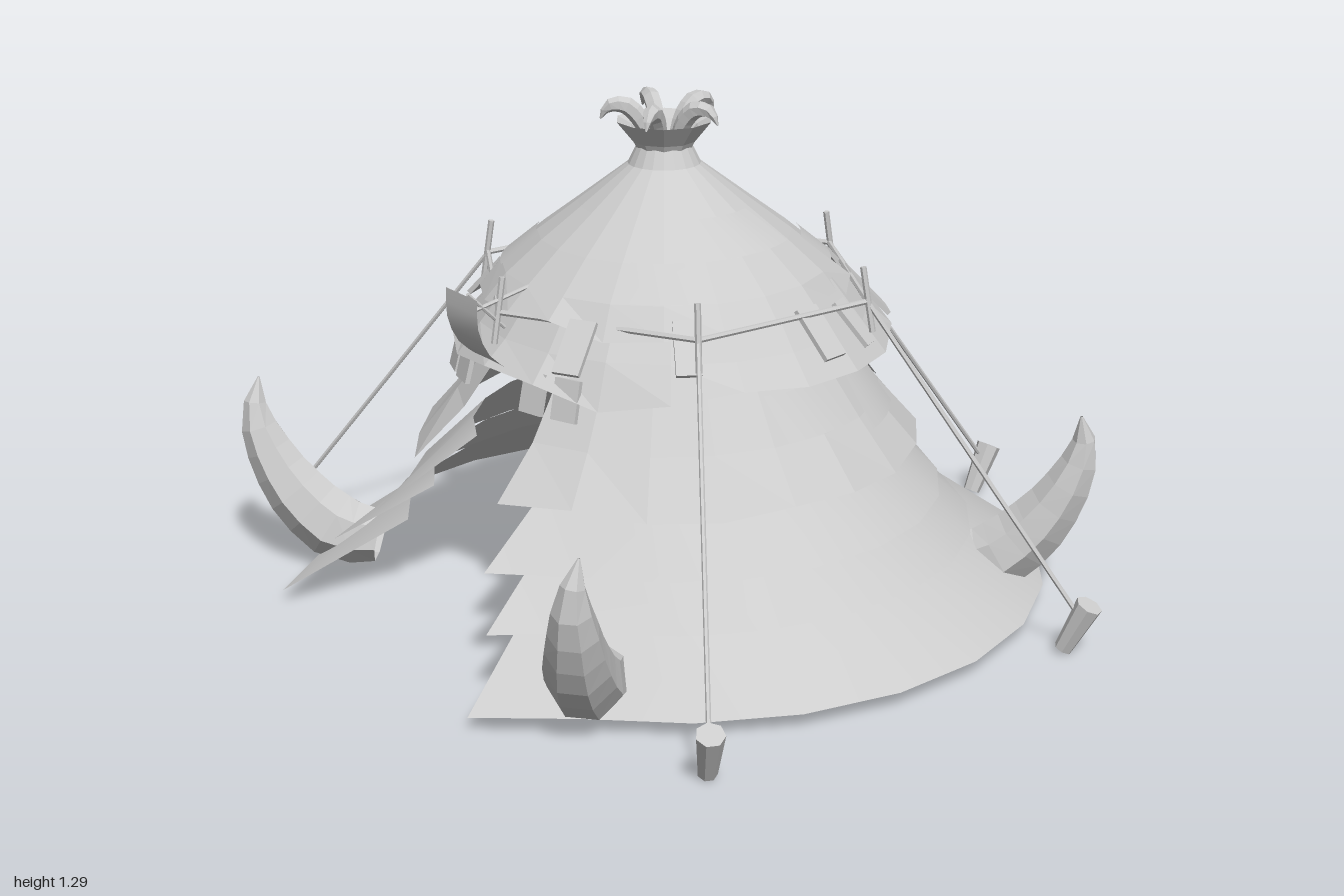
import * as THREE from 'three';

const V = (x, y, z) => new THREE.Vector3(x, y, z);

export function createModel() {
  const group = new THREE.Group();
  const smooth = new THREE.MeshStandardMaterial({ color: 0xcccccc, side: THREE.DoubleSide });
  smooth.name = 'pale grey hide';
  const faceted = smooth.clone();
  faceted.flatShading = true;
  faceted.name = 'pale grey faceted';

  let seed = 7;
  const rand = () => (seed = (seed * 16807) % 2147483647) / 2147483647;

  const add = (name, geo, mat = smooth, parent = group) => {
    const m = new THREE.Mesh(geo, mat);
    m.name = name;
    parent.add(m);
    return m;
  };
  // straight round bar between two points
  const bar = (name, a, b, r0, r1 = r0, sides = 6) => {
    const m = add(name, new THREE.CylinderGeometry(r1, r0, a.distanceTo(b), sides), faceted);
    m.position.copy(a).lerp(b, 0.5);
    m.quaternion.setFromUnitVectors(V(0, 1, 0), b.clone().sub(a).normalize());
    return m;
  };
  // tapering horn along a curve
  const horn = (name, pts, radii, sides = 7) => {
    const n = 9, c = new THREE.CatmullRomCurve3(pts), v = V(0, 0, 0);
    const geo = new THREE.TubeGeometry(c, n, 1, sides, false);
    const p = geo.attributes.position;
    for (let i = 0; i <= n; i++) {
      const o = c.getPointAt(i / n);
      const f = c.getUtoTmapping(i / n) * (radii.length - 1);
      const k = Math.min(Math.floor(f), radii.length - 2);
      const r = THREE.MathUtils.lerp(radii[k], radii[k + 1], f - k);
      for (let j = 0; j <= sides; j++) {
        const id = i * (sides + 1) + j;
        v.fromBufferAttribute(p, id).sub(o).multiplyScalar(r).add(o);
        p.setXYZ(id, v.x, v.y, v.z);
      }
    }
    geo.computeVertexNormals();
    return add(name, geo, faceted);
  };

  // overlapping hide layers: centre, door half angle, profile [radius, y], hem raggedness,
  // and the hem corners beside the door [x, front z, back z]
  const layers = [
    ['groundSkirt', -0.08, -0.04, 25, [[0.94, 0.04], [0.7, 0.21]], 0, [-1, 0.41, -0.48]],
    ['secondSkirt', -0.1, -0.03, 23.5, [[0.76, 0.18], [0.62, 0.31]], 0, [-0.89, 0.32, -0.4]],
    ['thirdSkirt', -0.11, -0.02, 20, [[0.68, 0.285], [0.51, 0.45]], 0, [-0.83, 0.22, -0.28]],
    ['middleHide', -0.14, 0, 17, [[0.63, 0.43], [0.53, 0.55], [0.42, 0.7]], 0.015, [-0.765, 0.18, -0.2]],
    ['upperHide', -0.13, 0, 0, [[0.55, 0.68], [0.49, 0.76], [0.41, 0.86]], 0.03],
    ['roofHide', -0.15, 0, 0, [[0.46, 0.82], [0.405, 0.88], [0.315, 0.955], [0.215, 1.03], [0.09, 1.125], [0.068, 1.17]], 0.02],
  ];
  for (const [name, cx, cz, gap, prof, rag, door] of layers) {
    const g = THREE.MathUtils.degToRad(gap);
    const geo = new THREE.LatheGeometry(prof.map(q => new THREE.Vector2(...q)), 20, -Math.PI / 2 + g, 2 * Math.PI - 2 * g);
    const p = geo.attributes.position, n = prof.length;
    if (rag) {
      for (let i = 0; i < 20; i++) p.setY(i * n, p.getY(i * n) + (rand() - 0.5) * 2 * rag);
      p.setY(20 * n, p.getY(0));
    }
    if (door) {
      p.setXYZ(0, door[0] - cx, prof[0][1], door[1] - cz);
      p.setXYZ(20 * n, door[0] - cx, prof[0][1], door[2] - cz);
    }
    geo.computeVertexNormals();
    add(name, geo, n > 2 ? faceted : smooth).position.set(cx, 0, cz);
  }

  // sewn patches lying on the hides: angle, width, skew, lower and upper [radius, y]
  const patches = [
    [0.1, 0.4, 0.1, [0.53, 0.55], [0.457, 0.65]], [0.75, 0.4, -0.15, [0.56, 0.515], [0.457, 0.65]],
    [1.3, 0.3, 0.2, [0.565, 0.51], [0.457, 0.65]], [1.85, 0.3, -0.1, [0.545, 0.535], [0.465, 0.64]],
    [2.6, 0.5, 0.1, [0.56, 0.515], [0.457, 0.65]], [3.4, 0.4, -0.1, [0.545, 0.535], [0.457, 0.65]],
    [0.1, 0.7, 0.2, [0.315, 0.955], [0.215, 1.03]], [1.0, 0.4, 0.1, [0.405, 0.88], [0.33, 0.943]],
    [1.9, 0.35, -0.1, [0.405, 0.88], [0.33, 0.943]], [2.8, 0.4, 0.1, [0.405, 0.88], [0.315, 0.955]],
    [4.1, 0.4, -0.1, [0.405, 0.88], [0.315, 0.955]], [5.6, 0.4, 0.1, [0.405, 0.88], [0.315, 0.955]],
  ];
  for (const [a, w, skew, lo, hi] of patches) {
    const pts = [lo, hi].map(([r, y]) => new THREE.Vector2(r + 0.004, y + 0.004));
    const geo = new THREE.LatheGeometry(pts, 4, a - w / 2, w);
    const p = geo.attributes.position;
    // slant the lower edge so each scrap is irregular
    for (let i = 0; i < p.count; i += 2) {
      const t = Math.atan2(p.getX(i), p.getZ(i)) + skew * 0.5;
      p.setXYZ(i, pts[0].x * Math.sin(t), pts[0].y, pts[0].x * Math.cos(t));
    }
    geo.computeVertexNormals();
    add('patch', geo).position.set(-0.147, 0, 0);
  }

  // wooden shingles at the eaves: angle, radius, width, length
  const shingles = [
    [0.2, 0.49, 0.07, 0.14], [0.48, 0.5, 0.05, 0.13], [1.05, 0.5, 0.08, 0.15], [1.3, 0.47, 0.05, 0.16],
    [1.75, 0.48, 0.09, 0.13], [2.05, 0.5, 0.06, 0.16], [2.3, 0.47, 0.08, 0.14], [2.55, 0.5, 0.05, 0.12],
    [3.7, 0.49, 0.07, 0.14], [5.2, 0.49, 0.07, 0.14], [5.75, 0.48, 0.06, 0.14],
  ];
  for (const [a, r, w, l] of shingles) {
    const pivot = new THREE.Group();
    pivot.name = 'shingleMount';
    pivot.position.set(-0.14, 0, 0);
    pivot.rotation.y = a;
    group.add(pivot);
    const s = add('shingle', new THREE.BoxGeometry(w, l, 0.012), faceted, pivot);
    s.position.set(0, 1.24 - r * 0.92, r);
    s.rotation.x = -0.75;
  }

  // ragged scraps either side of the doorway top
  for (const z of [-0.24, -0.15, 0.15, 0.24]) {
    const s = add('doorFringe', new THREE.BoxGeometry(0.012, 0.1, 0.07), faceted);
    s.position.set(-0.69 + Math.abs(z) * 0.35, 0.67, z);
    s.rotation.set(0, z * 1.5, -0.25);
  }

  // hexagonal rail with upright sticks, guy ropes and pegs
  const corner = i => V(-0.13 + 0.505 * Math.cos(i * Math.PI / 3), 0.83, 0.525 * Math.sin(i * Math.PI / 3));
  for (let i = 0; i < 6; i++) {
    const c = corner(i), d = V(Math.cos(i * Math.PI / 3), 0, Math.sin(i * Math.PI / 3));
    bar('rail', c, corner(i + 1), 0.007);
    bar('stick', c.clone().addScaledVector(d, 0.015).setY(0.755), c.clone().addScaledVector(d, -0.012).setY(0.915), 0.008);
    if (i === 3) continue;
    const foot = V(d.x < 0 ? -0.165 : -0.14, 0, -0.005).addScaledVector(d, 1.08);
    bar('guyRope', c, foot.clone().setY(0.11), 0.006);
    bar('peg', foot.clone().addScaledVector(d, -0.03).setY(0.012), foot.clone().addScaledVector(d, 0.03).setY(0.135), 0.023, 0.034, 7);
  }

  // four tusks around the base
  for (const sx of [-1, 1]) for (const sz of [-1, 1]) {
    const at = (x, y, z) => V(-0.14 + sx * x, y, -0.035 + sz * z);
    horn('tusk',
      [at(0.54, 0.09, 0.51), at(0.62, 0.11, 0.58), at(0.695, 0.2, 0.655), at(0.745, 0.32, 0.715), at(0.765, 0.42, 0.74), at(0.748, 0.505, 0.745)],
      [0.07, 0.092, 0.082, 0.06, 0.038, 0.003]);
  }

  // curled flap over the door with its ties
  const flap = new THREE.PlaneGeometry(0.14, 1, 1, 6);
  const curl = new THREE.CatmullRomCurve3([V(-0.73, 0.89, 0), V(-0.73, 0.82, 0), V(-0.7, 0.75, 0), V(-0.64, 0.7, 0)]);
  const fp = flap.attributes.position;
  for (let i = 0; i < fp.count; i++) {
    const q = curl.getPoint(0.5 - fp.getY(i));
    fp.setXYZ(i, q.x, q.y, fp.getX(i) - 0.01);
  }
  flap.computeVertexNormals();
  add('doorFlap', flap);
  bar('flapTie', V(-0.73, 0.84, 0), V(-0.5, 0.89, 0), 0.005);
  bar('flapTie', V(-0.72, 0.89, 0), V(-0.62, 0.79, 0), 0.005);

  // smoke hole collar and curling horn tips
  const collar = [[0.09, 1.125], [0.07, 1.165], [0.078, 1.18], [0.12, 1.232], [0.085, 1.215], [0.05, 1.18]];
  add('collar', new THREE.LatheGeometry(collar.map(q => new THREE.Vector2(...q)), 10), faceted).position.set(-0.15, 0, 0);
  for (let i = 0; i < 5; i++) {
    const a = i * Math.PI * 0.4 - 1.3;
    const at = (r, y) => V(-0.15 + r * Math.cos(a), y, r * Math.sin(a));
    horn('crownHorn', [at(0.035, 1.18), at(0.06, 1.235), at(0.095, 1.268), at(0.135, 1.265), at(0.155, 1.235)],
      [0.018, 0.022, 0.022, 0.016, 0.002], 6);
  }
  return group;
}
